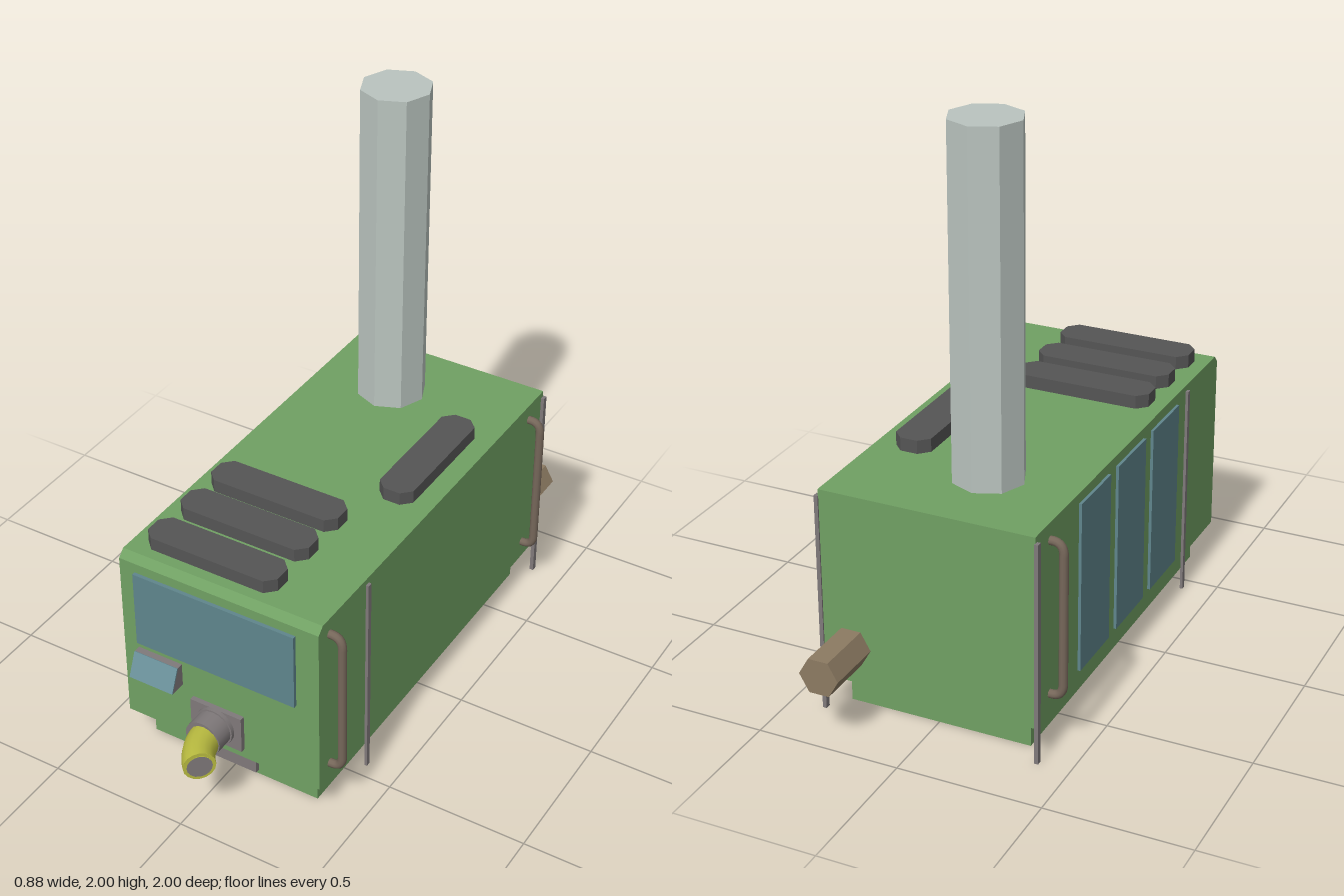
import * as THREE from 'three';

const mat = (name, color, double) => {
  const m = new THREE.MeshStandardMaterial({ color });
  m.name = name;
  if (double) m.side = THREE.DoubleSide;
  return m;
};

export function createModel() {
  const model = new THREE.Group();
  const green = mat('green paint', 0x70a063, true);
  const glass = mat('blue glass', 0x5f858c);
  const paleGlass = mat('pale blue glass', 0x6b919b);
  const dark = mat('dark grey', 0x555555);
  const pale = mat('pale metal', 0xbac4bf);
  const grey = mat('grey metal', 0x7f797a);
  const brown = mat('brown metal', 0x8c7a62);
  const bronze = mat('bronze', 0x76675a);
  const yellow = mat('yellow', 0xb9bb40, true);

  const add = (name, geometry, material, x = 0, y = 0, z = 0) => {
    const mesh = new THREE.Mesh(geometry, material);
    mesh.name = name;
    mesh.position.set(x, y, z);
    model.add(mesh);
    return mesh;
  };
  // Box given by its minimum and maximum on each axis
  const box = (name, m, x0, x1, y0, y1, z0, z1) =>
    add(name, new THREE.BoxGeometry(x1 - x0, y1 - y0, z1 - z0), m, (x0 + x1) / 2, (y0 + y1) / 2, (z0 + z1) / 2);

  // Hollow hull, open below: rings of y, x0, x1, z0, z1 from skirt to roof
  const rings = [
    [0, -0.327, 0.323, -0.71, 0.67],
    [0.125, -0.327, 0.323, -0.71, 0.67],
    [0.125, -0.38, 0.374, -0.79, 0.74],
    [0.775, -0.38, 0.374, -0.79, 0.74],
    [0.8, -0.38, 0.374, -0.79, 0.715],
  ].map(([y, x0, x1, z0, z1]) => [[x0, y, z1], [x1, y, z1], [x1, y, z0], [x0, y, z0]]);
  const points = [];
  const quad = (a, b, c, d) => points.push(...a, ...b, ...c, ...a, ...c, ...d);
  for (let r = 0; r < rings.length - 1; r++)
    for (let i = 0; i < 4; i++) {
      const j = (i + 1) % 4;
      quad(rings[r][i], rings[r][j], rings[r + 1][j], rings[r + 1][i]);
    }
  quad(...rings[rings.length - 1]);
  const hull = new THREE.BufferGeometry();
  hull.setAttribute('position', new THREE.Float32BufferAttribute(points, 3));
  hull.computeVertexNormals();
  add('body', hull, green);

  // Chimney
  const chimney = new THREE.CylinderGeometry(0.123, 0.123, 1.188, 8).toNonIndexed();
  chimney.computeVertexNormals();
  add('chimney', chimney, pale, -0.086, 1.406, -0.507);

  // Roof vents with cut corners
  const vent = (x0, x1, z0, z1) => {
    const w = (x1 - x0) / 2, d = (z1 - z0) / 2, c = 0.034;
    const s = new THREE.Shape([
      [-w + c, -d], [w - c, -d], [w, -d + c], [w, d - c],
      [w - c, d], [-w + c, d], [-w, d - c], [-w, -d + c],
    ].map(p => new THREE.Vector2(...p)));
    const g = new THREE.ExtrudeGeometry(s, { depth: 0.047, bevelEnabled: false });
    g.rotateX(-Math.PI / 2);
    add('roofVent', g, dark, (x0 + x1) / 2, 0.801, (z0 + z1) / 2);
  };
  for (const z of [0.185, 0.365, 0.55]) vent(-0.33, 0.165, z, z + 0.127);
  vent(0.174, 0.303, -0.437, 0.058);

  // Windows
  box('frontWindow', glass, -0.308, 0.3, 0.47, 0.757, 0.757, 0.77);
  for (const z of [-0.47, -0.177, 0.118]) box('sideWindow', glass, -0.391, -0.381, 0.16, 0.765, z, z + 0.231);

  // Vertical strips on the sides and rear corners
  for (const s of [-1, 1]) {
    const x = -0.003 + s * 0.382;
    box('sideStrip', grey, x - 0.005, x + 0.005, 0, 0.778, 0.435, 0.453);
    box('rearCornerStrip', grey, x - 0.007, x + 0.007, 0, 0.778, -0.795, -0.775);
  }

  // Grab handles
  const handle = (s, z) => {
    const v = (x, y) => new THREE.Vector3(s * x - 0.003, y, 0);
    const path = new THREE.CurvePath();
    path.add(new THREE.LineCurve3(v(0.37, 0.74), v(0.39, 0.74)));
    path.add(new THREE.QuadraticBezierCurve3(v(0.39, 0.74), v(0.422, 0.738), v(0.424, 0.7)));
    path.add(new THREE.LineCurve3(v(0.424, 0.7), v(0.424, 0.235)));
    path.add(new THREE.QuadraticBezierCurve3(v(0.424, 0.235), v(0.422, 0.197), v(0.39, 0.195)));
    path.add(new THREE.LineCurve3(v(0.39, 0.195), v(0.37, 0.195)));
    add('grabHandle', new THREE.TubeGeometry(path, 60, 0.015, 10), bronze, 0, 0, z);
  };
  handle(1, 0.675);
  handle(1, -0.683);
  handle(-1, -0.683);

  // Sloped display under the front window
  const wedge = new THREE.Shape([[-0.757, 0.357], [-0.757, 0.443], [-0.779, 0.443], [-0.815, 0.357]]
    .map(p => new THREE.Vector2(...p)));
  const wedgeGeo = new THREE.ExtrudeGeometry(wedge, { depth: 0.17, bevelEnabled: false });
  wedgeGeo.rotateY(Math.PI / 2);
  add('displayHousing', wedgeGeo, grey, -0.31, 0, 0);
  const screen = add('displayScreen', new THREE.BoxGeometry(0.17, 0.092, 0.005), paleGlass, -0.225, 0.4, 0.799);
  screen.rotation.x = -Math.atan2(0.036, 0.086);

  // Spout: mounting plate, collar, bent yellow tube and its end
  box('spoutPlate', grey, -0.1, 0.097, 0.185, 0.325, 0.757, 0.775);
  const disc = (name, r, depth, z) => {
    const g = new THREE.CylinderGeometry(r, r, depth, 20);
    g.rotateX(Math.PI / 2);
    add(name, g, grey, -0.002, 0.256, z);
  };
  disc('spoutFlange', 0.072, 0.014, 0.782);
  disc('spoutCollar', 0.066, 0.075, 0.815);
  const R = 0.2, bend = Math.PI / 4;
  class Bend extends THREE.Curve {
    getPoint(t, target = new THREE.Vector3()) {
      return target.set(R * (1 - Math.cos(t * bend)), 0, R * Math.sin(t * bend));
    }
  }
  add('spout', new THREE.TubeGeometry(new Bend(), 10, 0.055, 16), yellow, 0.001, 0.256, 0.82);
  const end = new Bend().getPoint(0.985);
  const mouth = add('spoutMouth', new THREE.CircleGeometry(0.043, 16), grey, end.x + 0.005, 0.256, 0.82 + end.z + 0.004);
  mouth.rotation.y = bend;
  const rim = add('spoutRim', new THREE.RingGeometry(0.042, 0.055, 16), yellow, end.x + 0.003, 0.256, 0.82 + end.z + 0.002);
  rim.rotation.y = bend;

  // Plate on the front skirt
  box('skirtPlate', grey, -0.1, 0.097, 0.025, 0.102, 0.677, 0.694);

  // Six-sided rear exhaust
  const exhaust = new THREE.CylinderGeometry(0.07, 0.07, 0.21, 6).toNonIndexed();
  exhaust.computeVertexNormals();
  exhaust.rotateY(Math.PI / 2);
  exhaust.rotateX(Math.PI / 2);
  add('exhaustPipe', exhaust, brown, 0.272, 0.256, -0.895);

  return model;
}
